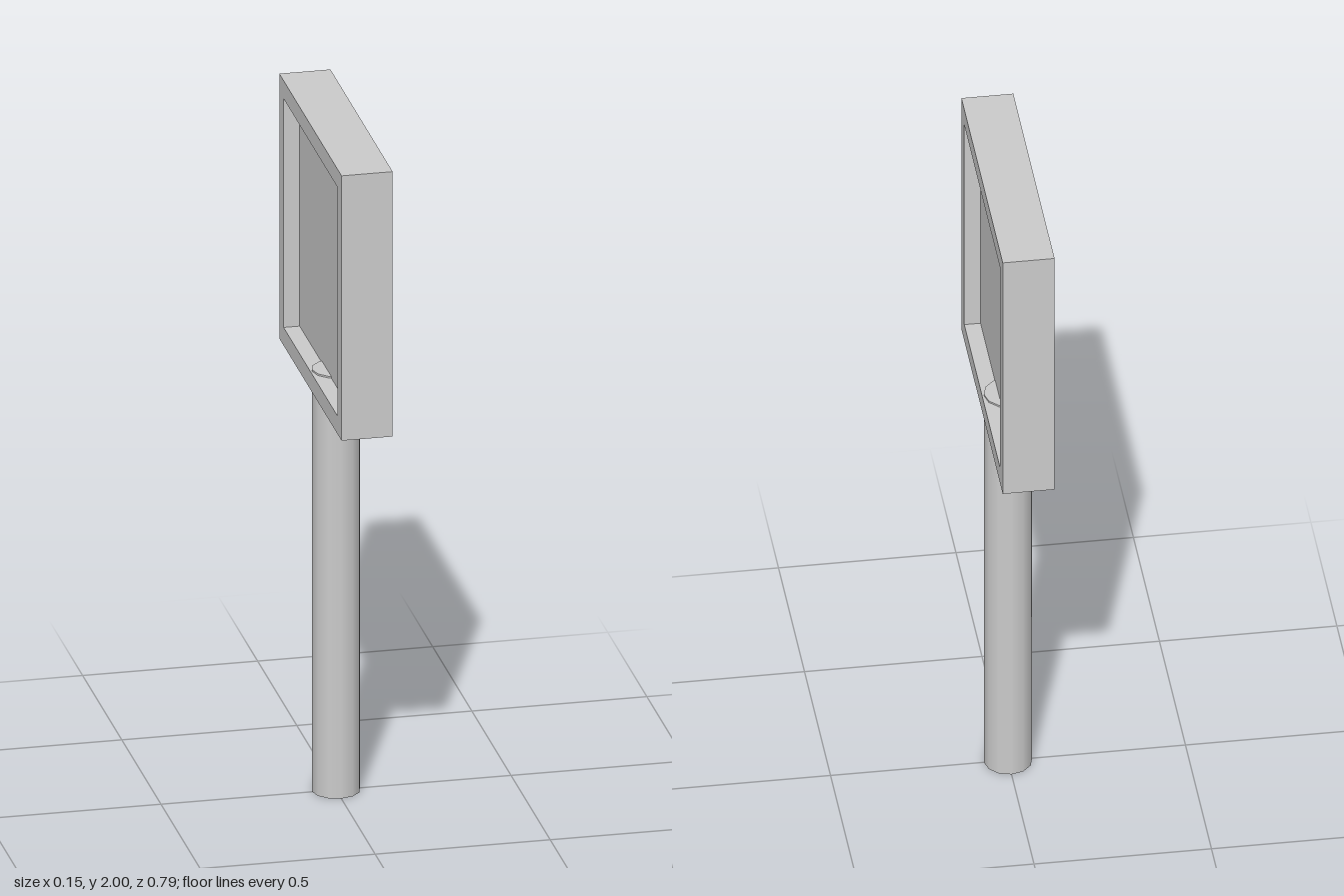
import * as THREE from 'three';

const material = new THREE.MeshStandardMaterial({ color: 0xcccccc });
const poleMaterial = new THREE.MeshStandardMaterial({ color: 0xcccccc, side: THREE.DoubleSide });

// Square outline traced around the origin
function square(half, Type) {
  return new Type([
    new THREE.Vector2(-half, -half),
    new THREE.Vector2(half, -half),
    new THREE.Vector2(half, half),
    new THREE.Vector2(-half, half),
  ]);
}

function addPart(group, name, geometry, mat, y) {
  const mesh = new THREE.Mesh(geometry, mat);
  mesh.name = name;
  mesh.position.y = y;
  group.add(mesh);
}

export function createModel() {
  const group = new THREE.Group();
  group.name = 'signpost';

  const half = 0.397, inner = 0.343, depth = 0.146;
  const panelDepth = 0.054, centreY = 2 - half;

  // Square frame, open on both faces (facing left and right)
  const outline = square(half, THREE.Shape);
  outline.holes.push(square(inner, THREE.Path));
  const frame = new THREE.ExtrudeGeometry(outline, { depth, bevelEnabled: false });
  frame.translate(0, 0, -depth / 2).rotateY(Math.PI / 2);
  addPart(group, 'frame', frame, material, centreY);

  // Sign panel, recessed on both sides
  addPart(group, 'panel', new THREE.BoxGeometry(panelDepth, inner * 2, inner * 2), material, centreY);

  // Hollow pole, its closed top just breaking through the lower rail
  const poleRadius = 0.068, poleTop = 1.265;
  const sides = 12;
  addPart(group, 'pole', new THREE.CylinderGeometry(poleRadius, poleRadius, poleTop, sides, 1, true), poleMaterial, poleTop / 2);
  addPart(group, 'poleTop', new THREE.CircleGeometry(poleRadius, sides).rotateX(-Math.PI / 2), material, poleTop);

  return group;
}
